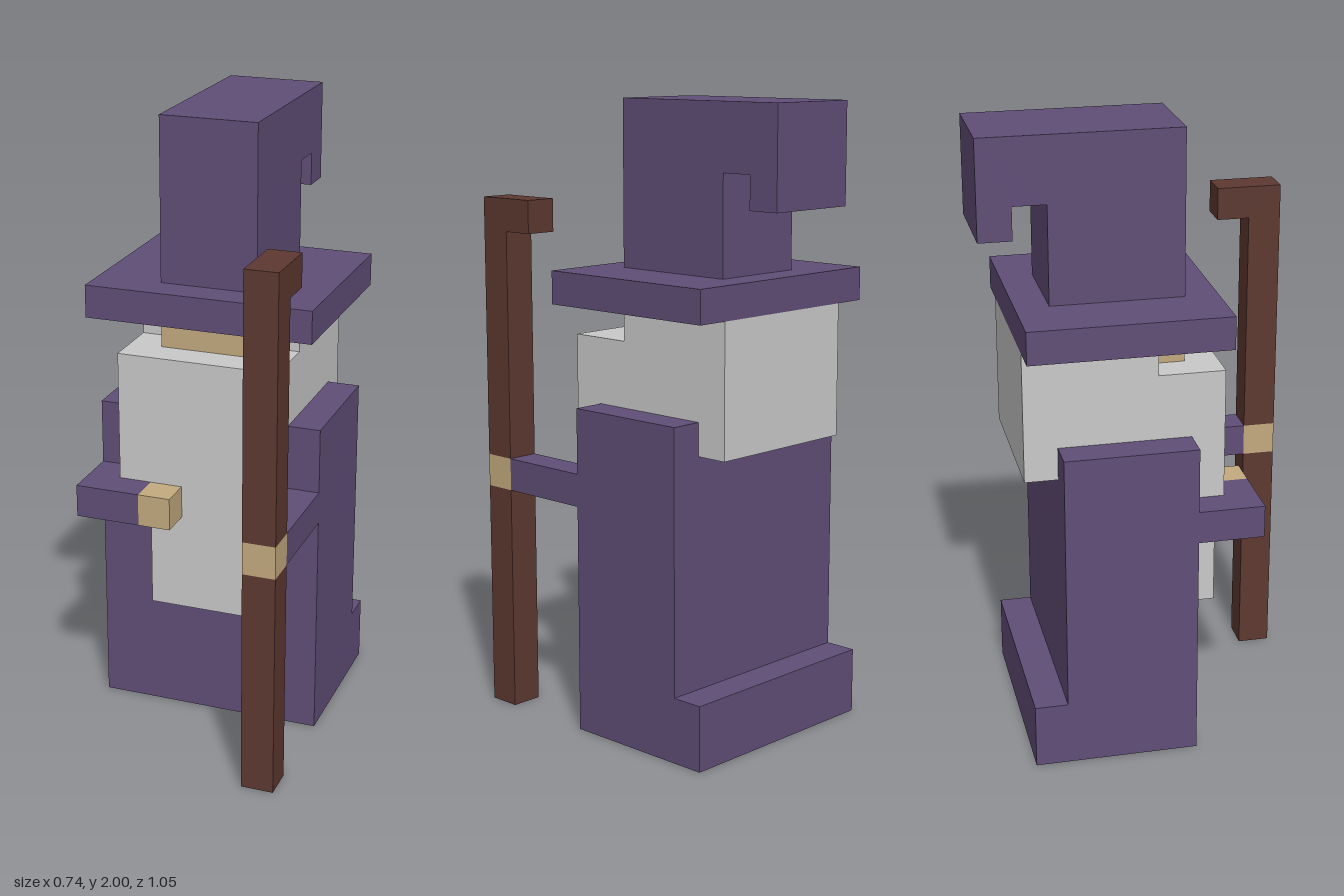
import * as THREE from 'three';

const U = 2 / 19; // one block; all coordinates below are in blocks

const mat = (name, color) => {
  const m = new THREE.MeshStandardMaterial({ color });
  m.name = name;
  return m;
};

export function createModel() {
  const purple = mat('purple cloth', 0x604e77);
  const white = mat('pale hair', 0xc9c9c9);
  const skin = mat('skin', 0xc4aa7f);
  const wood = mat('dark wood', 0x5d3931);

  const model = new THREE.Group();
  model.name = 'wizard';

  const add = (name, geometry, material) => {
    const mesh = new THREE.Mesh(geometry.scale(U, U, U), material);
    mesh.name = name;
    model.add(mesh);
  };

  // Box from its min and max corners
  const box = (name, material, [x0, y0, z0], [x1, y1, z1]) =>
    add(name, new THREE.BoxGeometry(x1 - x0, y1 - y0, z1 - z0)
      .translate((x0 + x1) / 2, (y0 + y1) / 2, (z0 + z1) / 2), material);

  // Side outline of [z, y] points, extruded from x0 to x1
  const slab = (name, material, x0, x1, points) => {
    const shape = new THREE.Shape(points.map(([z, y]) => new THREE.Vector2(z, y)));
    const geometry = new THREE.ExtrudeGeometry(shape, { depth: x1 - x0, bevelEnabled: false });
    add(name, geometry.rotateY(-Math.PI / 2).translate(x1, 0, 0), material);
  };

  // Robe with a trailing hem, and a raised shoulder on each side
  slab('robe', purple, -3.5, 3.5, [[1, 0], [1, 9], [-3, 9], [-3, 2], [-4, 2], [-4, 0]]);
  box('leftShoulder', purple, [2.5, 9, -3], [3.5, 10, 1]);
  box('rightShoulder', purple, [-3.5, 9, -3], [-2.5, 10, 1]);

  // Head of hair running into the beard
  slab('hair', white, -2.5, 2.5,
    [[2, 8], [2, 12], [0, 12], [0, 13], [-4, 13], [-4, 9], [1, 9], [1, 8]]);
  box('beardTip', white, [-1.5, 4, 1], [1.5, 8, 2]);
  box('face', skin, [-1.5, 12, 0], [1.5, 13, 1]);

  // Hat with a crown that hooks over at the back
  box('hatBrim', purple, [-3.5, 13, -4], [3.5, 14, 2]);
  slab('hatCrown', purple, -1.5, 1.5,
    [[1, 14], [1, 19], [-5, 19], [-5, 16], [-4, 16], [-4, 17], [-3, 17], [-3, 14]]);

  // Right arm bends across the chest
  box('rightUpperArm', purple, [-3.5, 7, 1], [-2.5, 8, 2]);
  box('rightForearm', purple, [-3.5, 7, 2], [-1.5, 8, 3]);
  box('rightHand', skin, [-1.5, 7, 2], [-0.5, 8, 3]);

  // Left arm reaches forward to hold the staff
  box('leftArm', purple, [2.5, 7, 1], [3.5, 8, 4]);
  box('leftHand', skin, [2.5, 7, 4], [3.5, 8, 5]);

  // Staff, split around the hand
  box('staffLower', wood, [2.5, 0, 4], [3.5, 7, 5]);
  slab('staffUpper', wood, 2.5, 3.5, [[5, 8], [5, 16], [3, 16], [3, 15], [4, 15], [4, 8]]);

  return model;
}
